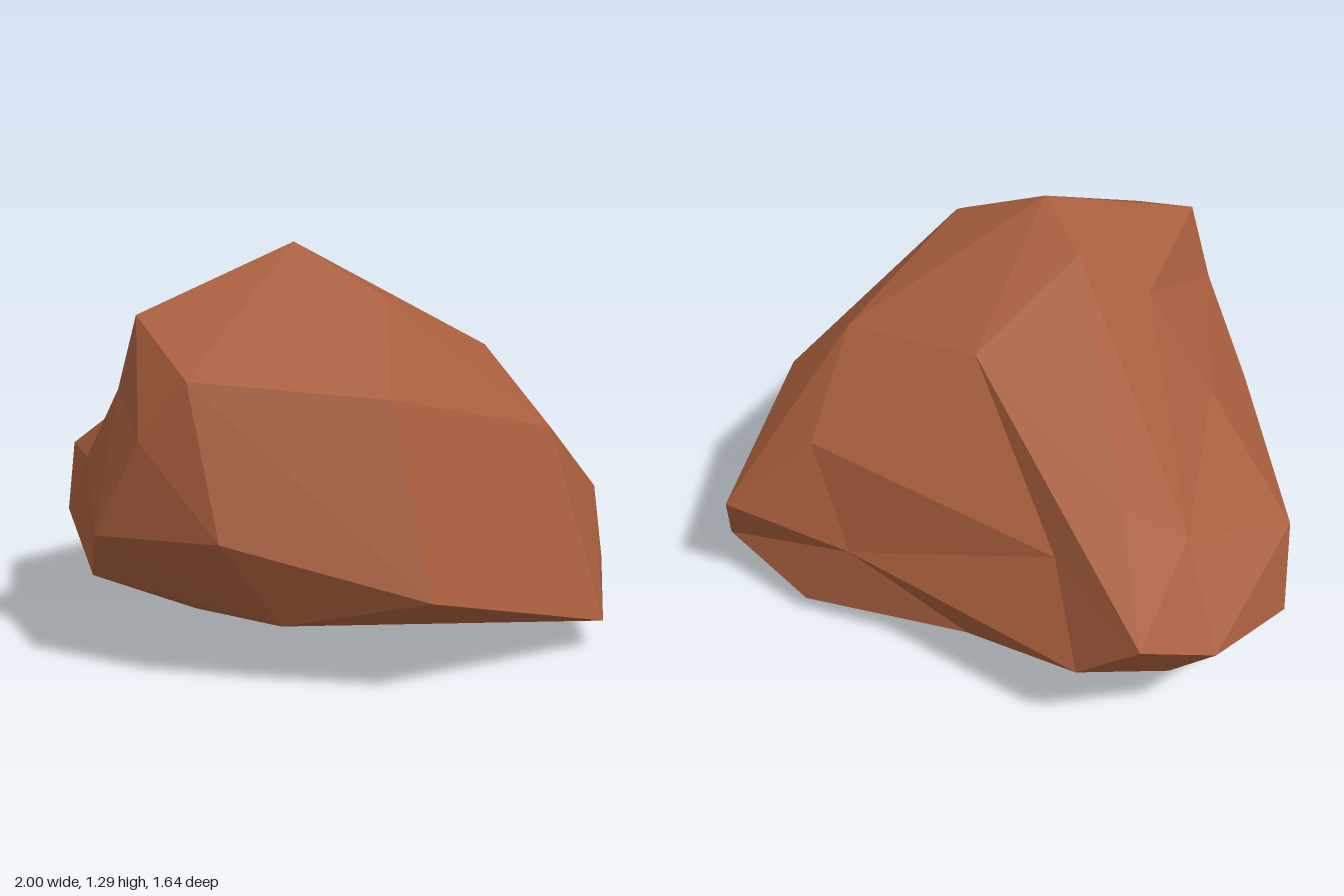
import * as THREE from 'three';
import { ConvexGeometry } from 'three/addons/geometries/ConvexGeometry.js';

// Corners of the outer shell: x, y, z, and a factor that pushes slightly sunken ones out while wrapping
const shell = {
  // crown
  apex: [0.08, 1.29, 0.13], crownLeft: [0.42, 1.13, 0.12], crownRight: [-0.13, 1.21, 0],
  browRight: [-0.19, 1.09, 0.61], brow: [0.11, 0.93, 0.77], browLeft: [0.64, 0.88, 0.47],
  nape: [0, 1.01, -0.39], napeLeft: [0.5, 0.93, -0.38], shoulder: [0.75, 0.68, -0.37],
  ridge: [-0.62, 0.77, -0.53],
  // front
  nose: [-0.04, 0.74, 0.81, 1.04], chinRight: [-0.21, 0.43, 0.81], chinLeft: [0.26, 0.46, 0.82],
  cornerLeft: [0.83, 0.3, 0.54], cheek: [-0.27, 0.85, 0.6, 1.1], jaw: [-0.49, 0.59, 0.48, 1.1],
  // right end
  endTop: [-0.94, 0.51, -0.03], endFront: [-0.71, 0.36, 0.3], endRidge: [-0.78, 0.64, -0.4, 1.08],
  endLow: [-1, 0.27, -0.15], endBack: [-0.98, 0.38, -0.56],
  // back
  backRight: [-0.86, 0.52, -0.81], backRightLow: [-0.62, 0.3, -0.78, 1.08],
  backTop: [0.44, 0.67, -0.68], backLeft: [0.7, 0.4, -0.82], backLeftLow: [0.78, 0.18, -0.72],
  heelLeft: [0.45, 0.065, -0.75], heel: [-0.12, 0.11, -0.64, 1.15],
  // underside
  tip: [1, 0.09, -0.27], lipLeft: [0.37, 0.19, 0.65], lipRight: [-0.35, 0.25, 0.64],
  keelFront: [-0.12, 0.12, 0.4], keel: [-0.28, 0.07, 0.16], baseRight: [-0.77, 0.14, -0.47],
  foot: [-0.21, 0, -0.36], footLeft: [0.46, 0.02, -0.38],
};

// Corners at the bottom of the two hollows
const sunken = {
  gullyTop: [-0.29, 1.03, 0.17], gullyLow: [-0.53, 0.74, 0.17],
  nicheRight: [-0.46, 0.59, -0.65], nicheLeft: [0.28, 0.32, -0.72],
};

// Each hollow opens the shell inside its rim and fills it with fans: centre first, then its ring
const hollows = [
  {
    rim: ['browRight', 'crownRight', 'endRidge', 'endTop', 'jaw', 'cheek'],
    fans: [
      ['gullyTop', 'browRight', 'crownRight', 'endRidge', 'gullyLow', 'cheek', 'browRight'],
      ['gullyLow', 'endRidge', 'endTop', 'jaw', 'cheek'],
    ],
  },
  {
    rim: ['backTop', 'nape', 'backRight', 'backRightLow', 'heel', 'heelLeft', 'backLeftLow', 'backLeft'],
    fans: [
      ['nicheLeft', 'backTop', 'backLeft', 'backLeftLow', 'heelLeft', 'heel', 'backRightLow', 'nicheRight', 'backTop'],
      ['nicheRight', 'backRightLow', 'backRight', 'nape', 'backTop'],
    ],
  },
];

// Triangles of the wrapped shell, as corner names
function shellTriangles() {
  const core = new THREE.Vector3(0, 0.5, -0.1);
  const names = Object.keys(shell);
  const pushed = names.map((name) => {
    const [x, y, z, factor = 1] = shell[name];
    return new THREE.Vector3(x, y, z).sub(core).multiplyScalar(factor).add(core);
  });
  const position = new ConvexGeometry(pushed).attributes.position;
  const v = new THREE.Vector3();
  const nameAt = (i) => {
    v.fromBufferAttribute(position, i);
    return names[pushed.findIndex((p) => p.distanceTo(v) < 1e-4)];
  };
  const triangles = [];
  for (let i = 0; i < position.count; i += 3) triangles.push([nameAt(i), nameAt(i + 1), nameAt(i + 2)]);
  return triangles;
}

function boulderGeometry() {
  let triangles = shellTriangles();
  for (const { rim, fans } of hollows) {
    triangles = triangles.filter((t) => !t.every((name) => rim.includes(name)));
    for (const [centre, ...ring] of fans) {
      for (let i = 0; i + 1 < ring.length; i++) triangles.push([centre, ring[i], ring[i + 1]]);
    }
  }
  const corners = { ...shell, ...sunken };
  const points = triangles.flat().map((name) => new THREE.Vector3(...corners[name].slice(0, 3)));
  const geometry = new THREE.BufferGeometry().setFromPoints(points);
  geometry.computeVertexNormals(); // unshared corners give flat facets
  return geometry;
}

export function createModel() {
  const group = new THREE.Group();
  group.name = 'rock';
  const stone = new THREE.MeshStandardMaterial({ color: 0xa85e3d });
  stone.name = 'reddish brown stone';
  const boulder = new THREE.Mesh(boulderGeometry(), stone);
  boulder.name = 'boulder';
  group.add(boulder);
  return group;
}
